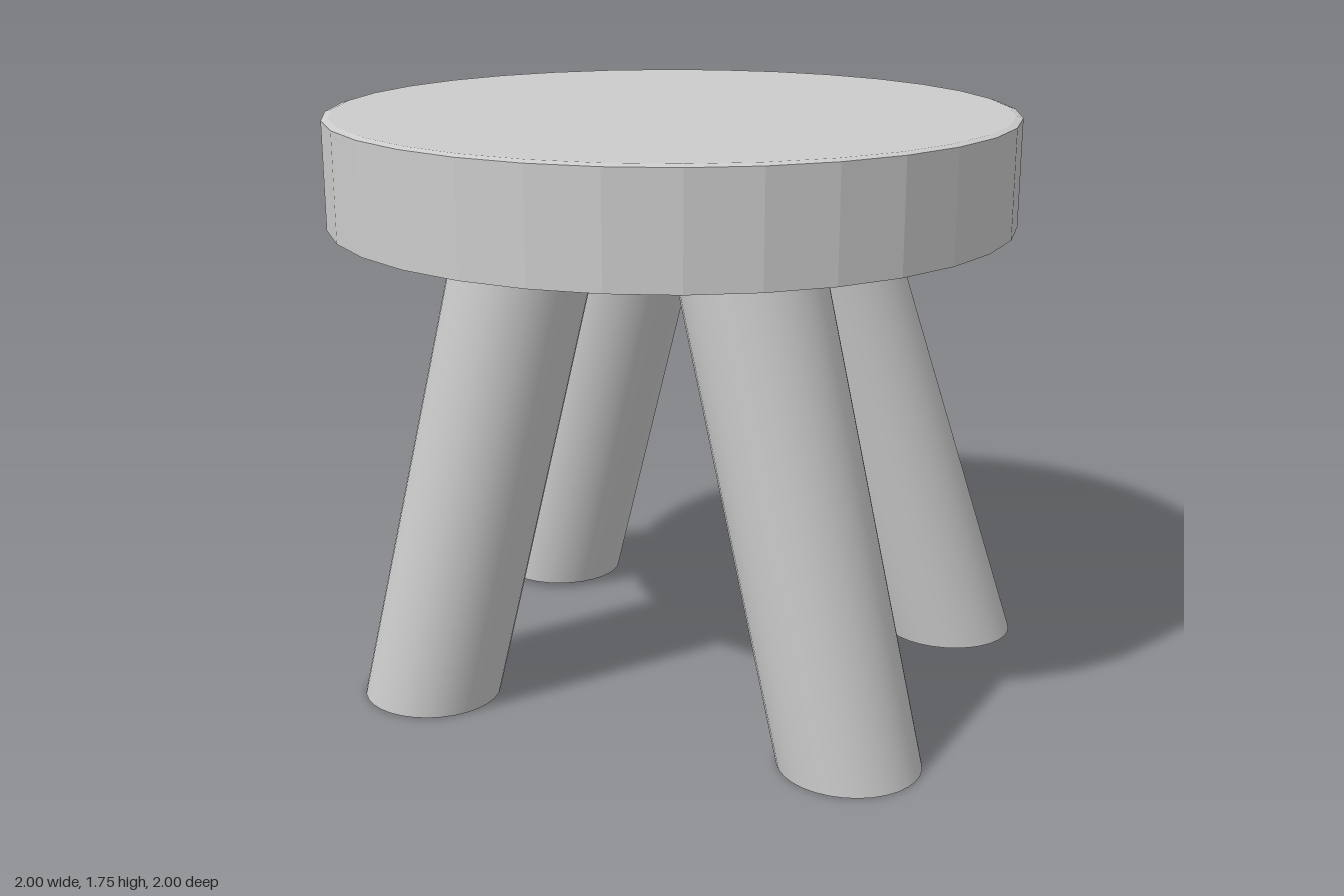
import * as THREE from 'three';

const SEAT_BOTTOM = 1.43;
const SEAT_TOP = 1.745;
const LEG_TOP = 1.46; // legs sink slightly into the seat

// Round leg sheared between two floor-parallel ends; foot and head are [x, z]
function makeLeg(name, foot, head, footY, material) {
  const geometry = new THREE.CylinderGeometry(0.203, 0.203, 1, 32);
  geometry.scale(1.015, 1, 0.985);
  geometry.translate(0, 0.5, 0);
  // Columns: x axis, leg direction, z axis, foot position
  geometry.applyMatrix4(new THREE.Matrix4().set(
    1, head[0] - foot[0], 0, foot[0],
    0, LEG_TOP - footY, 0, footY,
    0, head[1] - foot[1], 1, foot[1],
    0, 0, 0, 1
  ));
  const leg = new THREE.Mesh(geometry, material);
  leg.name = name;
  return leg;
}

export function createModel() {
  const model = new THREE.Group();
  model.name = 'stool';
  const smooth = new THREE.MeshStandardMaterial({ color: 0xcccccc });
  const faceted = new THREE.MeshStandardMaterial({ color: 0xcccccc, flatShading: true });

  // Faceted round seat with a very slight bevel on the top rim
  const profile = [
    [0, SEAT_BOTTOM], [1, SEAT_BOTTOM], [1, SEAT_TOP - 0.006], [0.98, SEAT_TOP], [0, SEAT_TOP],
  ].map(([r, y]) => new THREE.Vector2(r, y));
  const seat = new THREE.Mesh(new THREE.LatheGeometry(profile, 32), faceted);
  seat.name = 'seat';
  model.add(seat);

  // Four splayed legs, each leaning a little differently
  const legs = [
    ['frontLeftLeg', [0.705, 0.45], [0.36, 0.4], 0],
    ['frontRightLeg', [-0.61, 0.45], [-0.27, 0.4], 0],
    ['backLeftLeg', [0.75, -0.59], [0.32, -0.4], 0],
    ['backRightLeg', [-0.65, -0.59], [-0.235, -0.4], 0.015],
  ];
  for (const [name, foot, head, footY] of legs) {
    model.add(makeLeg(name, foot, head, footY, smooth));
  }
  return model;
}
